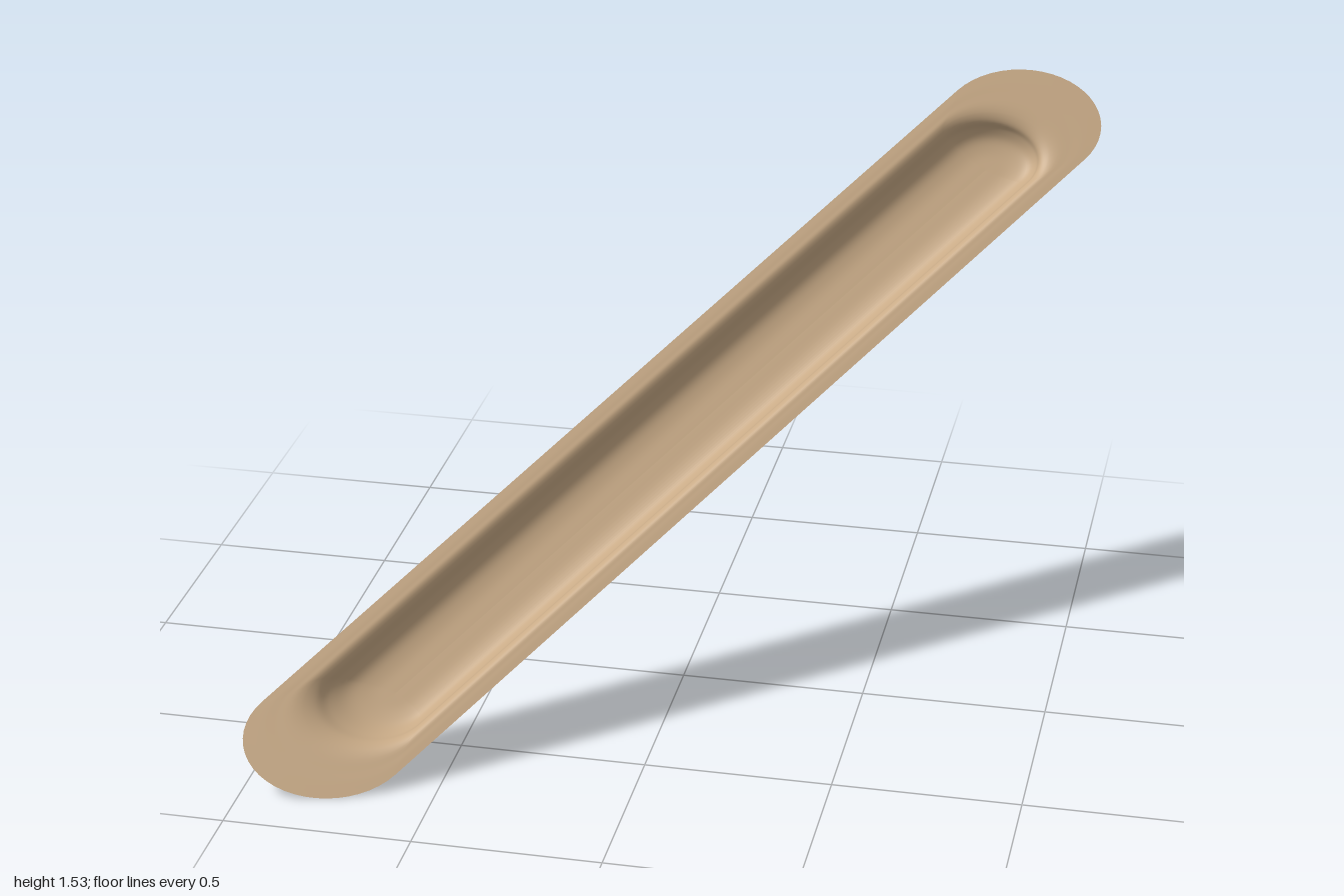
import * as THREE from 'three';

// Point k of a stadium outline: straight half length L, end radius w
const END = 24;
function stadium(L, w, k) {
  const far = k > END ? 1 : 0;
  const t = -Math.PI / 2 + (Math.PI * (k - far * (END + 1))) / END + far * Math.PI;
  return [(far ? -L : L) + w * Math.cos(t), w * Math.sin(t)];
}

export function createModel() {
  const group = new THREE.Group();
  group.name = 'tray';

  // Cross-section from the rim edge to the floor: [end radius, half length, depth]
  const keys = [
    [0.187, 1.26, 0], [0.16, 1.2, 0], [0.139, 1.14, 0.003], [0.125, 1.12, 0.016],
    [0.113, 1.11, 0.04], [0.09, 1.1, 0.063], [0.055, 1.09, 0.073], [0, 1.08, 0.075],
  ].map((p) => new THREE.Vector3(...p));
  const rows = new THREE.CatmullRomCurve3(keys, false, 'centripetal').getPoints(35);

  // Loops of the stadium outline, leaning along the long axis
  const n = 2 * (END + 1);
  const positions = [];
  const index = [];
  rows.forEach(({ x: w, y: L, z: d }, r) => {
    for (let k = 0; k < n; k++) {
      const [a, b] = stadium(L, Math.max(w, 0), k);
      positions.push(a - 0.35 * b + 0.5 * d, b - 0.3 * d, -d);
      if (r === rows.length - 1) continue;
      const p = r * n + k;
      const q = r * n + ((k + 1) % n);
      index.push(p, q, q + n, p, q + n, p + n);
    }
  });
  const geometry = new THREE.BufferGeometry();
  geometry.setAttribute('position', new THREE.Float32BufferAttribute(positions, 3));
  geometry.setIndex(index);

  // Tilt: long axis, width axis and facing direction
  const long = new THREE.Vector3(0.625, 0.506, -0.594).normalize();
  const wide = new THREE.Vector3(-0.735, 0.636, -0.236);
  wide.addScaledVector(long, -wide.dot(long)).normalize();
  const facing = new THREE.Vector3().crossVectors(long, wide);
  geometry.applyMatrix4(new THREE.Matrix4().makeBasis(long, wide, facing));
  geometry.translate(0, 0.77, 0);
  geometry.computeVertexNormals();

  const shell = new THREE.Mesh(
    geometry,
    new THREE.MeshStandardMaterial({ color: 0xc8aa86, side: THREE.DoubleSide })
  );
  shell.name = 'trayShell';
  group.add(shell);
  return group;
}
